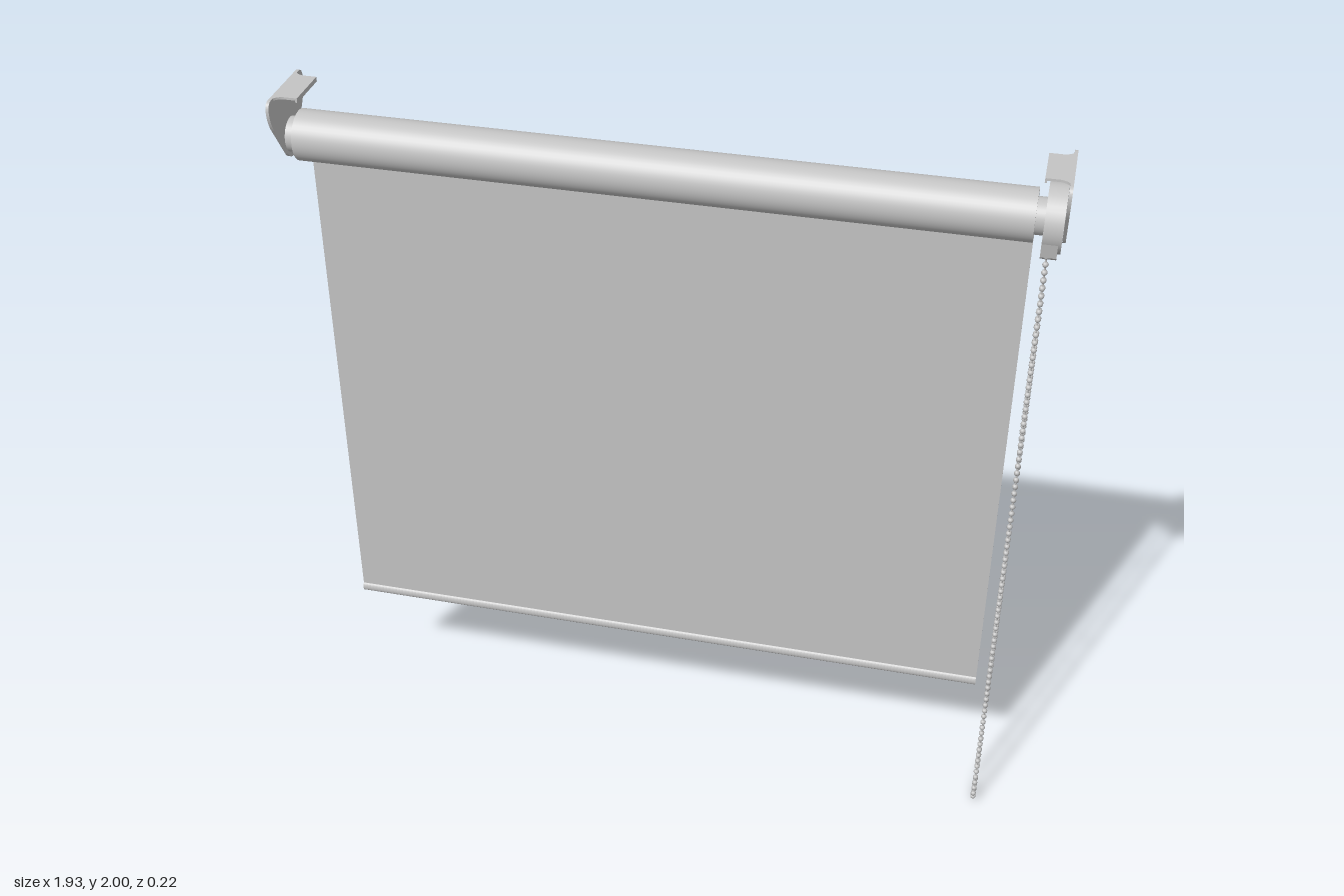
import * as THREE from 'three';
import { mergeGeometries } from 'three/addons/utils/BufferGeometryUtils.js';

const AXIS_Y = 1.87;

export function createModel() {
  const model = new THREE.Group();
  model.name = 'rollerBlind';
  const grey = new THREE.MeshStandardMaterial({ color: 0xc4c4c4 });
  grey.name = 'light grey';

  const add = (name, geometry, x = 0, y = 0, z = 0, parent = model) => {
    const mesh = new THREE.Mesh(geometry, grey);
    mesh.name = name;
    mesh.position.set(x, y, z);
    parent.add(mesh);
    return mesh;
  };
  // Cylinder lying along x
  const rod = (r, length, sides = 40) => new THREE.CylinderGeometry(r, r, length, sides).rotateZ(Math.PI / 2);
  // Outline in the z-y plane, given a thickness along x
  const sidePlate = (shape, depth) =>
    new THREE.ExtrudeGeometry(shape, { depth, bevelEnabled: false, curveSegments: 12 }).rotateY(Math.PI / 2);

  // Rolled cloth, hanging cloth and bottom bar
  add('clothRoll', rod(0.065, 1.82, 48), -0.02, AXIS_Y, -0.002);
  add('hangingCloth', new THREE.BoxGeometry(1.82, 1.47, 0.003), -0.02, 1.1, -0.053);
  const bar = new THREE.Shape();
  bar.absellipse(0, 0, 0.008, 0.0135, 0, Math.PI * 2);
  add('bottomBar', sidePlate(bar, 1.82), -0.93, 0.3635, -0.053);

  // Wall brackets: shield-shaped plate with an inward top flange
  const shield = new THREE.Shape();
  shield.moveTo(-0.088, 2);
  shield.lineTo(0.088, 2);
  shield.quadraticCurveTo(0.108, 2, 0.109, 1.975);
  shield.quadraticCurveTo(0.109, 1.945, 0.088, 1.915);
  shield.lineTo(0.032, 1.83);
  shield.quadraticCurveTo(0.018, 1.81, 0, 1.81);
  shield.quadraticCurveTo(-0.018, 1.81, -0.032, 1.83);
  shield.lineTo(-0.088, 1.915);
  shield.quadraticCurveTo(-0.109, 1.945, -0.109, 1.975);
  shield.quadraticCurveTo(-0.108, 2, -0.088, 2);

  const flange = new THREE.Shape();
  flange.moveTo(0, -0.088);
  flange.quadraticCurveTo(0.012, -0.066, 0.03, -0.064);
  flange.lineTo(0.065, -0.064);
  flange.lineTo(0.065, 0.064);
  flange.lineTo(0.03, 0.064);
  flange.quadraticCurveTo(0.012, 0.066, 0, 0.088);
  const flangeGeometry = new THREE.ExtrudeGeometry(flange, { depth: 0.006, bevelEnabled: false }).rotateX(Math.PI / 2);

  for (const [side, angle] of [['right', 0], ['left', Math.PI]]) {
    const bracket = new THREE.Group();
    bracket.name = side + 'Bracket';
    bracket.rotation.y = angle;
    add('bracketPlate', sidePlate(shield, 0.008), -0.965, 0, 0, bracket);
    add('bracketFlange', flangeGeometry, -0.965, 2, 0, bracket);
    add('flangeLip', new THREE.BoxGeometry(0.005, 0.012, 0.128), -0.9025, 1.994, 0, bracket);
    model.add(bracket);
  }

  // Idle end: pin plug between the roll and the bracket
  add('idlePlug', rod(0.045, 0.025), -0.942, AXIS_Y, 0);
  add('idlePin', rod(0.02, 0.03), -0.945, AXIS_Y, 0);

  // Drive end: collar, round housing and chain guard
  add('driveCollar', rod(0.045, 0.03), 0.9, AXIS_Y, 0);
  add('driveHousing', rod(0.084, 0.045), 0.934, AXIS_Y, 0);
  const guard = new THREE.Shape();
  guard.moveTo(-0.08, 1.85);
  guard.lineTo(-0.07, 1.8);
  guard.quadraticCurveTo(-0.055, 1.78, 0, 1.78);
  guard.quadraticCurveTo(0.055, 1.78, 0.07, 1.8);
  guard.lineTo(0.08, 1.85);
  add('chainGuard', sidePlate(guard, 0.038), 0.911, 0, 0);

  // Beaded pull chain: a long loop with rounded lower corners
  const loop = new THREE.Path();
  loop.moveTo(0.063, 1.8);
  loop.lineTo(0.063, 0.045);
  loop.quadraticCurveTo(0.062, 0.009, 0.025, 0.009);
  loop.lineTo(-0.014, 0.009);
  loop.quadraticCurveTo(-0.051, 0.009, -0.052, 0.045);
  loop.lineTo(-0.052, 1.8);
  const count = Math.round(loop.getLength() / 0.0215);
  const points = loop.getSpacedPoints(count).map((p) => new THREE.Vector3(0.926, p.y, p.x));
  const bead = new THREE.SphereGeometry(0.0075, 10, 7);
  add('chainBeads', mergeGeometries(points.map((p) => bead.clone().translate(p.x, p.y, p.z))));
  add('chainCord', new THREE.TubeGeometry(new THREE.CatmullRomCurve3(points), count * 2, 0.0025, 6));

  return model;
}
